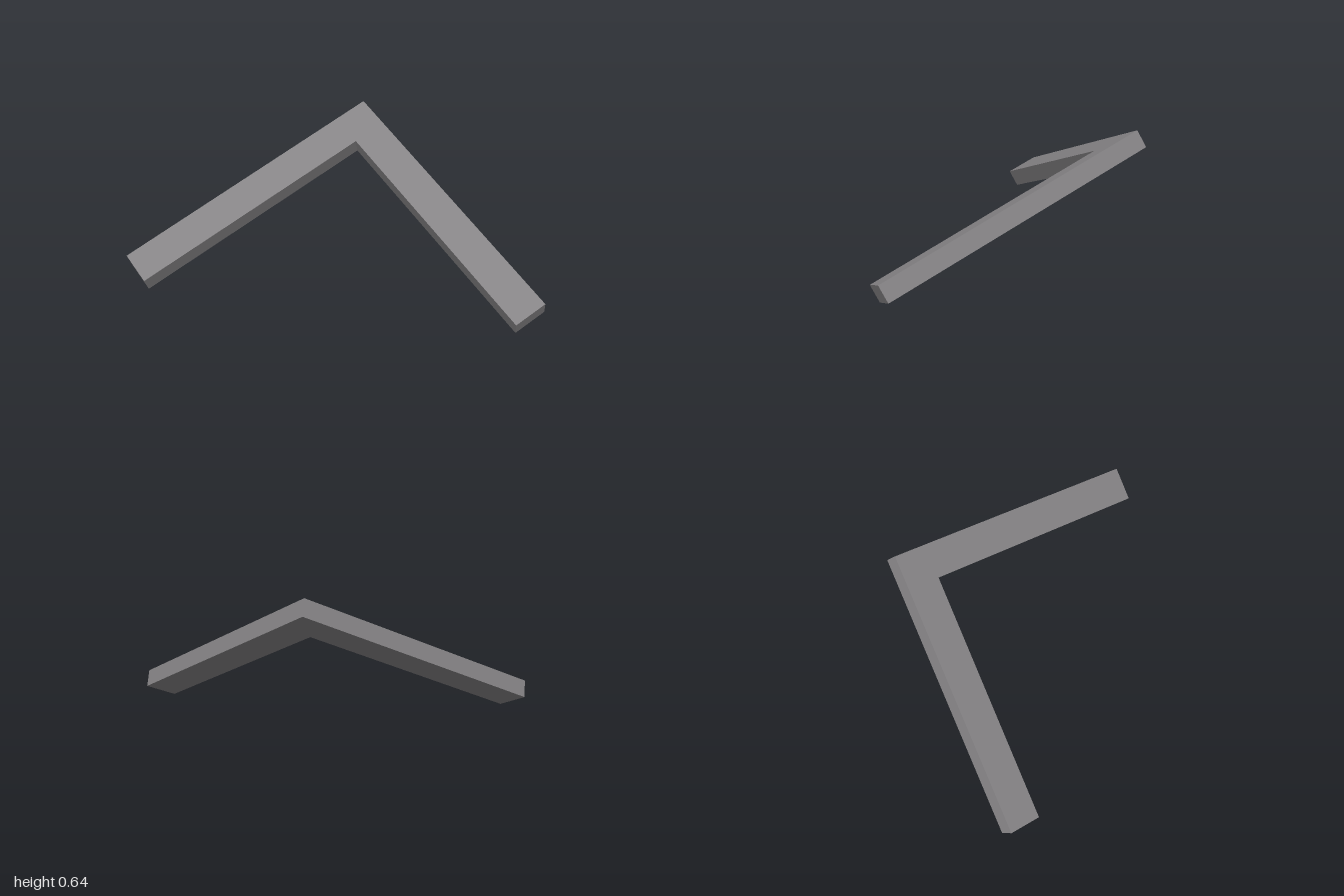
import * as THREE from 'three';

export function createModel() {
  const group = new THREE.Group();
  group.name = 'angledBracket';

  const grey = new THREE.MeshStandardMaterial({ color: 0x868486 });
  grey.name = 'warm grey';

  // Right-angled chevron outline: two equal arms with square-cut ends
  const reach = 1, width = 0.12, thickness = 0.09;
  const outline = new THREE.Shape([
    [reach - width, 0],
    [reach, width],
    [0, reach + width],
    [-reach, width],
    [width - reach, 0],
    [0, reach - width],
  ].map(([x, y]) => new THREE.Vector2(x, y)));

  const geometry = new THREE.ExtrudeGeometry(outline, { depth: thickness, bevelEnabled: false });

  // Lean the slab back so the tip rises 30 degrees above the ground
  geometry.rotateX(-Math.PI / 3);
  geometry.translate(0, 0, 0.4625);

  const chevron = new THREE.Mesh(geometry, grey);
  chevron.name = 'chevron';
  group.add(chevron);
  return group;
}
